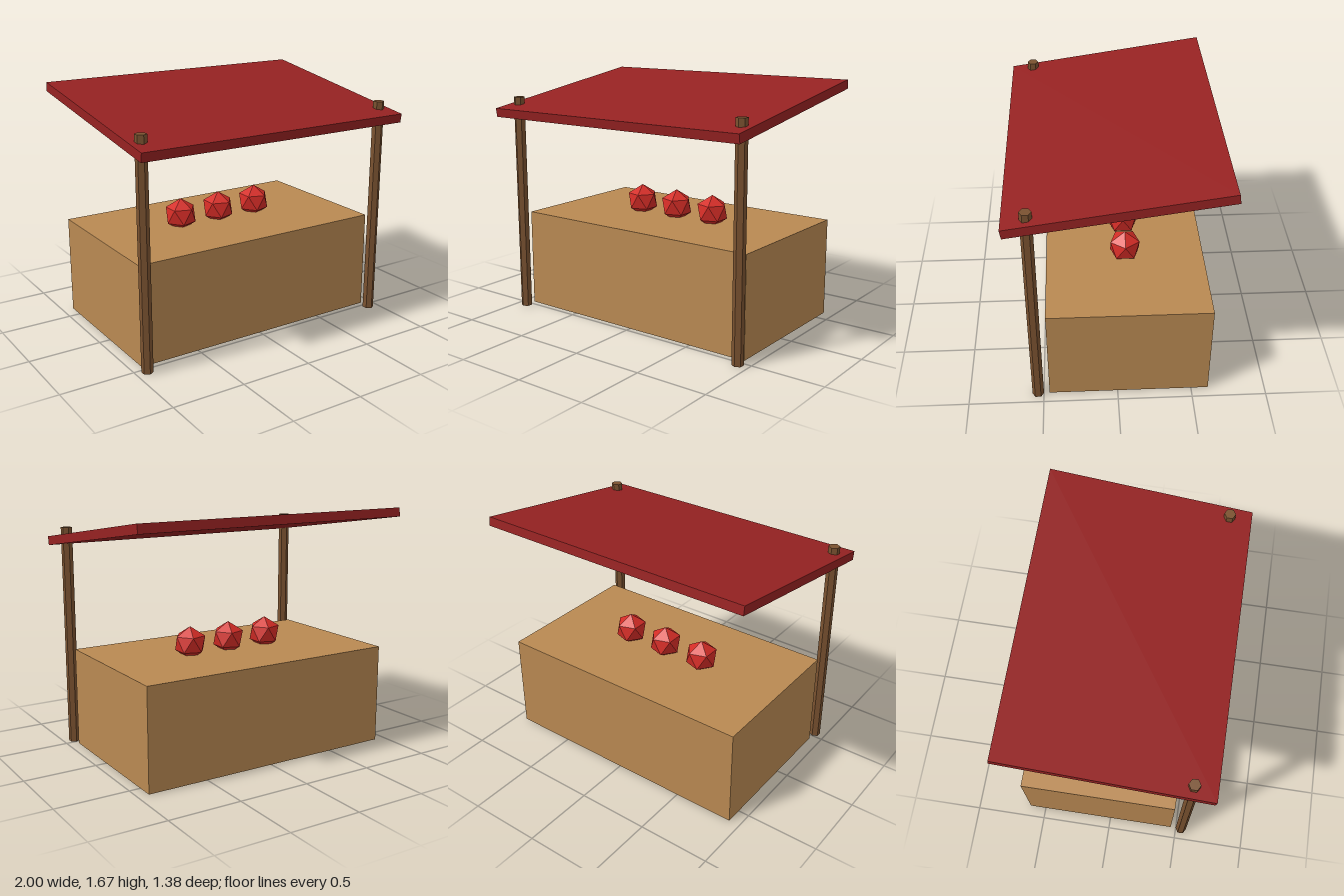
import * as THREE from 'three';

export function createModel() {
  const stall = new THREE.Group();
  stall.name = 'marketStall';

  const paint = (color) => new THREE.MeshStandardMaterial({ color, flatShading: true });
  const tan = paint(0xb98952), brown = paint(0x7a5230), darkRed = paint(0x962222), red = paint(0xd42c26);

  const add = (name, geometry, material, x, y, z) => {
    const mesh = new THREE.Mesh(geometry, material);
    mesh.name = name;
    mesh.position.set(x, y, z);
    stall.add(mesh);
    return mesh;
  };

  // Solid counter
  add('counter', new THREE.BoxGeometry(1.846, 0.692, 1.077), tan, 0, 0.346, -0.077);

  // Sloping roof board, lower at the front
  const roof = add('roof', new THREE.BoxGeometry(2, 0.0615, 1.385), darkRed, 0, 1.5385, 0);
  roof.rotation.x = 0.15;

  // Two hexagonal front posts that poke through the roof
  const post = new THREE.CylinderGeometry(0.0385, 0.0385, 1.5385, 6);
  for (const [name, side] of [['leftPost', 1], ['rightPost', -1]]) {
    add(name, post, brown, side * 0.923, 0.769, 0.5385);
  }

  // Three faceted fruits, standing on a vertex sunk into the counter
  const fruit = new THREE.IcosahedronGeometry(0.1155, 0);
  fruit.rotateX(-Math.atan((1 + Math.sqrt(5)) / 2));
  fruit.rotateY(Math.PI / 2);
  for (let i = -1; i <= 1; i++) {
    add(`fruit${i + 2}`, fruit, red, i * 0.3077, 0.769, -0.077);
  }

  return stall;
}
